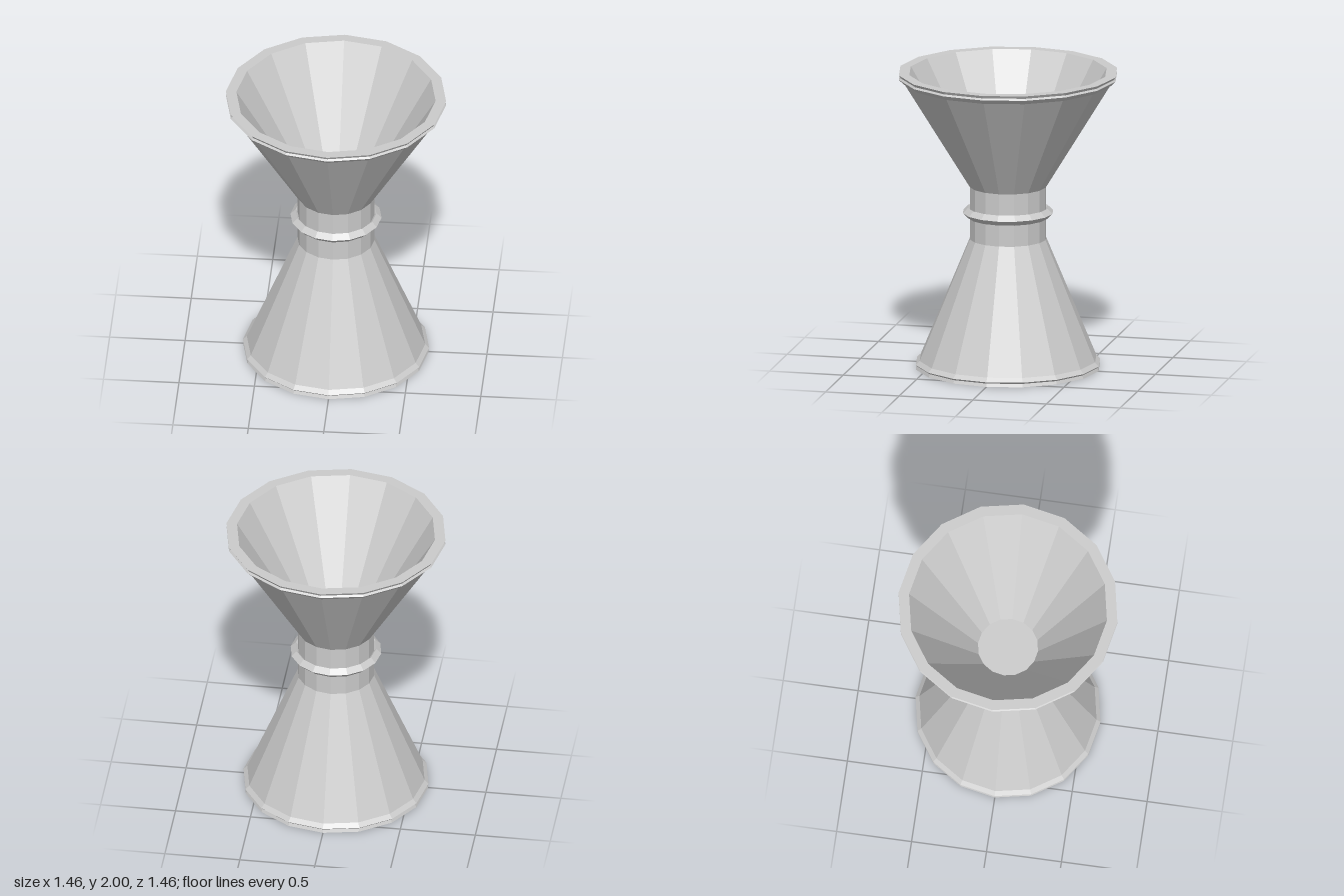
import * as THREE from 'three';

const SIDES = 16;

export function createModel() {
  const model = new THREE.Group();
  model.name = 'doubleCup';
  const metal = new THREE.MeshStandardMaterial({ color: 0xcccccc, flatShading: true });

  // Turned part from [radius, height] pairs, listed so the faces point outward
  function turned(name, profile) {
    const points = profile.map(([r, y]) => new THREE.Vector2(r, y));
    const mesh = new THREE.Mesh(new THREE.LatheGeometry(points, SIDES), metal);
    mesh.name = name;
    model.add(mesh);
  }

  // Raised bead with a diamond cross-section
  function bead(name, radius, tube, y) {
    const geometry = new THREE.TorusGeometry(radius, tube, 4, SIDES);
    geometry.rotateX(Math.PI / 2);
    const mesh = new THREE.Mesh(geometry, metal);
    mesh.name = name;
    mesh.position.y = y;
    model.add(mesh);
  }

  // Small cup, open downward: ceiling, inner wall, lip, outer wall
  turned('lowerCup', [[0, 0.87], [0.2, 0.87], [0.555, 0], [0.615, 0], [0.255, 0.87]]);

  // Solid neck joining the two cups
  turned('neck', [[0.255, 0.87], [0.255, 1.225]]);

  // Large cup, open upward: outer wall, lip, inner wall, floor
  turned('upperCup', [[0.255, 1.225], [0.73, 2], [0.66, 2], [0.2, 1.23], [0, 1.23]]);

  // Beads around both lips and the neck
  bead('lowerRim', 0.587, 0.03, 0.032);
  bead('neckRing', 0.268, 0.034, 1.05);
  bead('upperRim', 0.7, 0.03, 1.97);

  return model;
}
